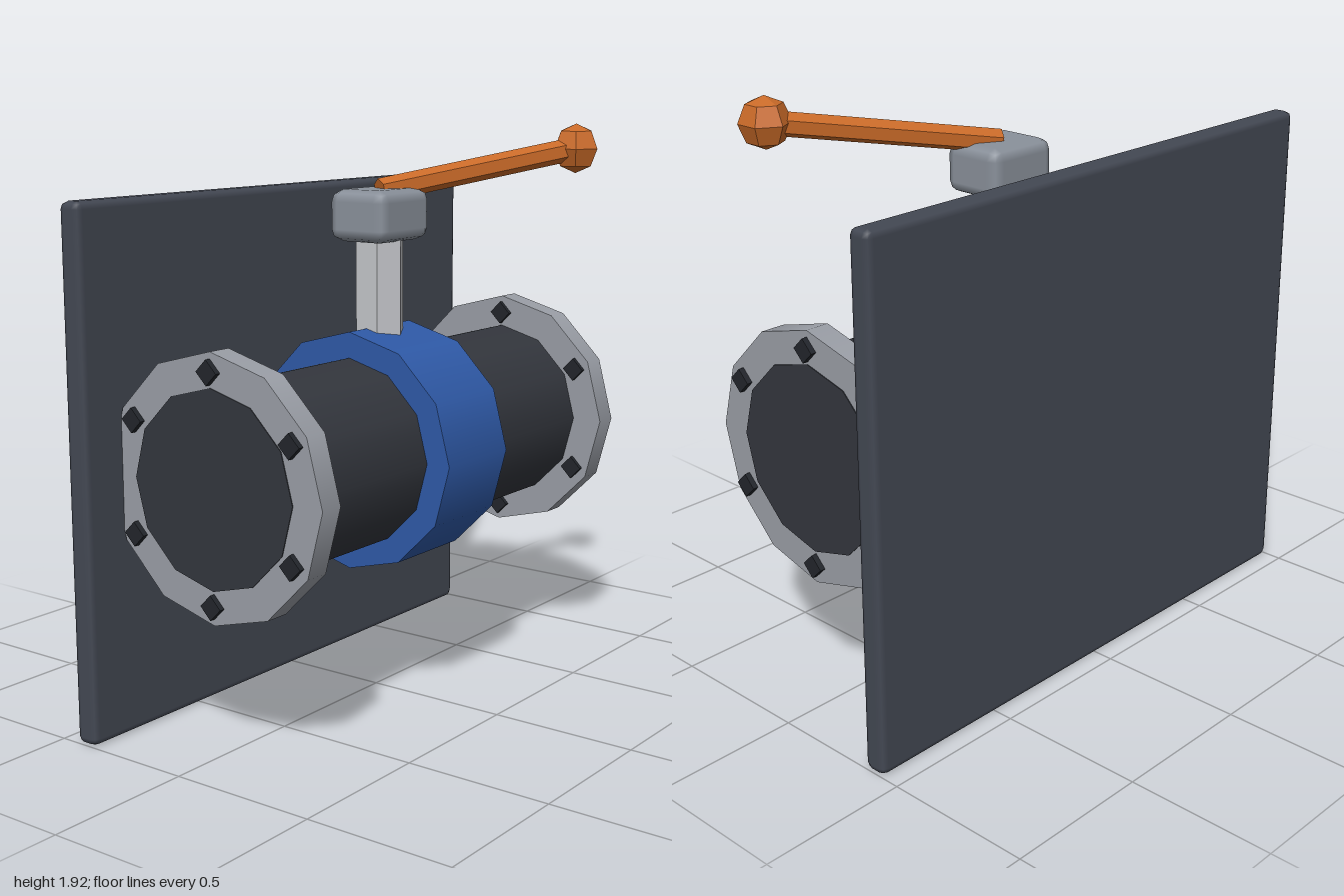
import * as THREE from 'three';
import { RoundedBoxGeometry } from 'three/addons/geometries/RoundedBoxGeometry.js';

const AXIS_Y = 0.86;
const AXIS_Z = 0.015;

function material(color, flatShading = false) {
  return new THREE.MeshStandardMaterial({ color, flatShading });
}

export function createModel() {
  const model = new THREE.Group();
  model.name = 'valveOnPanel';

  const dark = material(0x33363d);
  const steel = material(0x9a9ea6);
  const blue = material(0x2f5aa8);
  const boltDark = material(0x22252b, true);
  const orange = material(0xc96a28, true);

  const add = (name, geometry, mat, x, y, z) => {
    const mesh = new THREE.Mesh(geometry, mat);
    mesh.name = name;
    mesh.position.set(x, y, z);
    model.add(mesh);
    return mesh;
  };

  // Cylinder lying along x
  const drum = (name, radius, length, sides, mat, x = 0, y = AXIS_Y, z = AXIS_Z) => {
    const geometry = new THREE.CylinderGeometry(radius, radius, length, sides);
    geometry.rotateZ(Math.PI / 2);
    return add(name, geometry, mat, x, y, z);
  };

  // Upright panel behind the pipe
  add('backPanel', new RoundedBoxGeometry(2, 1.715, 0.082, 1, 0.024), material(0x434853), 0, 0.8575, -0.4);

  // Pipe and valve body
  drum('pipe', 0.314, 1.69, 12, dark);
  drum('valveBody', 0.4, 0.336, 12, blue);

  // End flanges, each with six bolts
  for (const side of [-1, 1]) {
    const label = side < 0 ? 'right' : 'left';
    drum(label + 'Flange', 0.423, 0.084, 12, steel, side * 0.8);
    for (let i = 0; i < 6; i++) {
      const a = (i / 6) * Math.PI * 2;
      drum(label + 'Bolt' + (i + 1), 0.04, 0.118, 4, boltDark,
        side * 0.802, AXIS_Y + 0.362 * Math.cos(a), AXIS_Z + 0.362 * Math.sin(a));
    }
  }

  // Stem and its cap
  add('stem', new THREE.CylinderGeometry(0.085, 0.085, 0.4, 6), material(0xc4c6ca, true), 0, 1.4, AXIS_Z);
  add('stemCap', new RoundedBoxGeometry(0.278, 0.17, 0.226, 1, 0.04), material(0x8a919b), 0, 1.632, AXIS_Z);

  // Slanted lever with a ball grip
  const start = new THREE.Vector3(0, 1.71, AXIS_Z);
  const end = new THREE.Vector3(0.685, 1.832, 0.355);
  const direction = end.clone().sub(start);
  const middle = start.clone().lerp(end, 0.5);
  const lever = add('lever', new THREE.CylinderGeometry(0.04, 0.04, direction.length(), 6), orange,
    middle.x, middle.y, middle.z);
  lever.quaternion.setFromUnitVectors(new THREE.Vector3(0, 1, 0), direction.normalize());

  const knob = add('leverKnob', new THREE.SphereGeometry(0.085, 6, 4), orange, end.x, end.y, end.z);
  knob.rotation.y = Math.PI / 6;

  return model;
}
